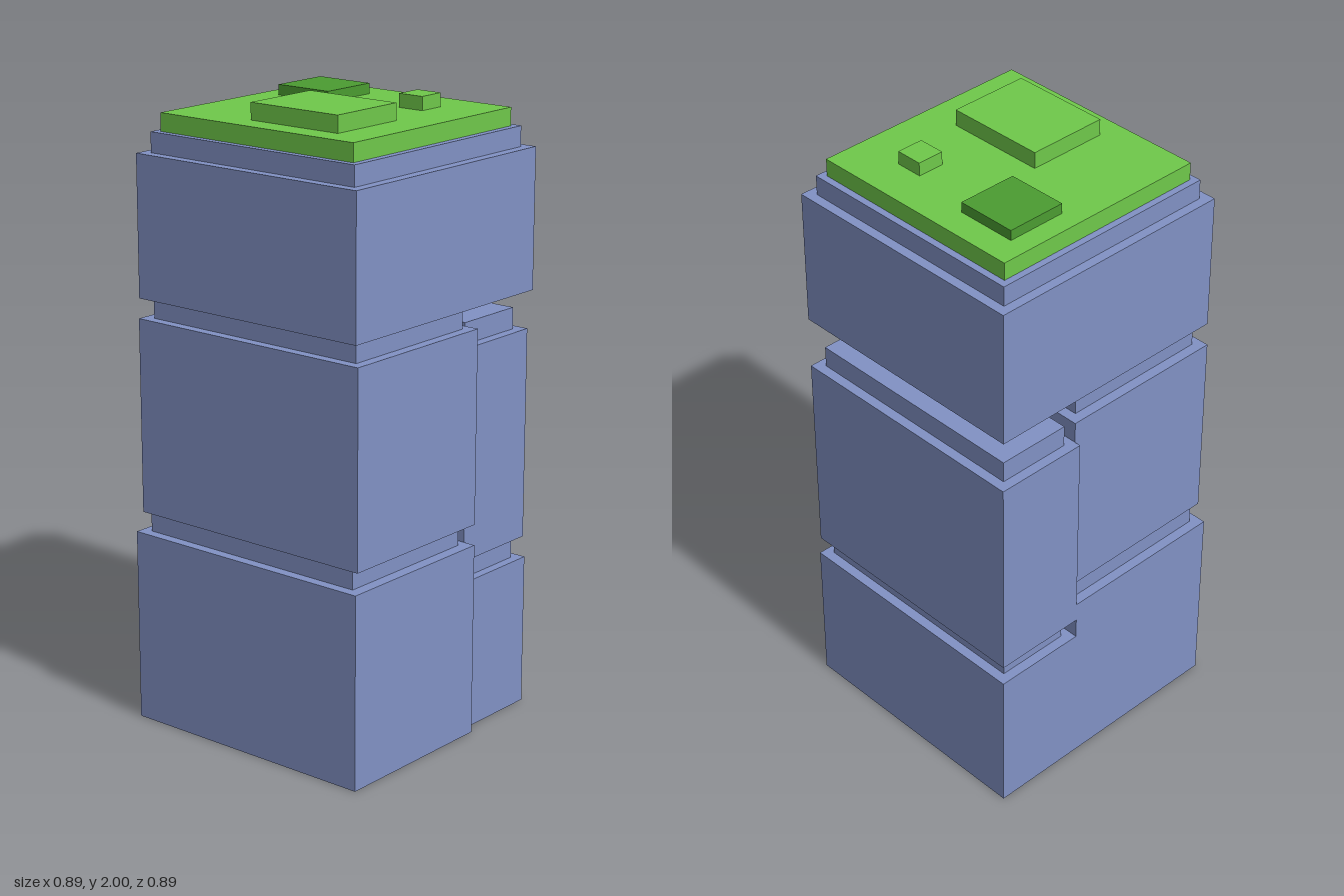
import * as THREE from 'three';

export function createModel() {
  const model = new THREE.Group();
  model.name = 'grassToppedRockPillar';

  const material = (name, color) => {
    const m = new THREE.MeshStandardMaterial({ color });
    m.name = name;
    return m;
  };
  const stone = material('blueStone', 0x8191c4);
  const grass = material('grass', 0x6fc84a);
  const darkGrass = material('darkGrass', 0x4b9c31);

  // Box spanning [min, max] on each axis
  const block = (name, mat, [x0, x1], [y0, y1], [z0, z1]) => {
    const mesh = new THREE.Mesh(new THREE.BoxGeometry(x1 - x0, y1 - y0, z1 - z0), mat);
    mesh.position.set((x0 + x1) / 2, (y0 + y1) / 2, (z0 + z1) / 2);
    mesh.name = name;
    model.add(mesh);
  };

  // Wide stack of boulders with inset necks between them
  block('wideLowerStone', stone, [-0.443, 0.132], [0, 0.623], [-0.443, 0.443]);
  block('wideLowerNeck', stone, [-0.41, 0.098], [0.623, 0.69], [-0.41, 0.405]);
  block('wideMiddleStone', stone, [-0.434, 0.132], [0.69, 1.312], [-0.422, 0.443]);
  block('wideUpperNeck', stone, [-0.402, 0.098], [1.312, 1.379], [-0.388, 0.41]);

  // Narrow stack beside it
  block('narrowLowerStone', stone, [0.132, 0.443], [0, 0.492], [-0.443, 0.41]);
  block('narrowLowerNeck', stone, [0.165, 0.41], [0.492, 0.559], [-0.41, 0.38]);
  block('narrowUpperStone', stone, [0.132, 0.443], [0.559, 1.243], [-0.443, 0.402]);
  block('narrowCap', stone, [0.165, 0.41], [1.243, 1.312], [-0.41, 0.37]);

  // Crowning boulder
  block('topStone', stone, [-0.443, 0.41], [1.379, 1.826], [-0.41, 0.443]);
  block('topLedge', stone, [-0.411, 0.378], [1.826, 1.89], [-0.379, 0.41]);

  // Grass cover and tufts
  block('grassSlab', grass, [-0.39, 0.355], [1.89, 1.947], [-0.357, 0.388]);
  block('largeTuft', grass, [-0.311, -0.044], [1.947, 2], [-0.067, 0.265]);
  block('smallTuft', grass, [0.133, 0.222], [1.947, 1.99], [0.133, 0.222]);
  block('darkTuft', darkGrass, [0.066, 0.265], [1.947, 1.98], [-0.289, -0.089]);

  return model;
}
